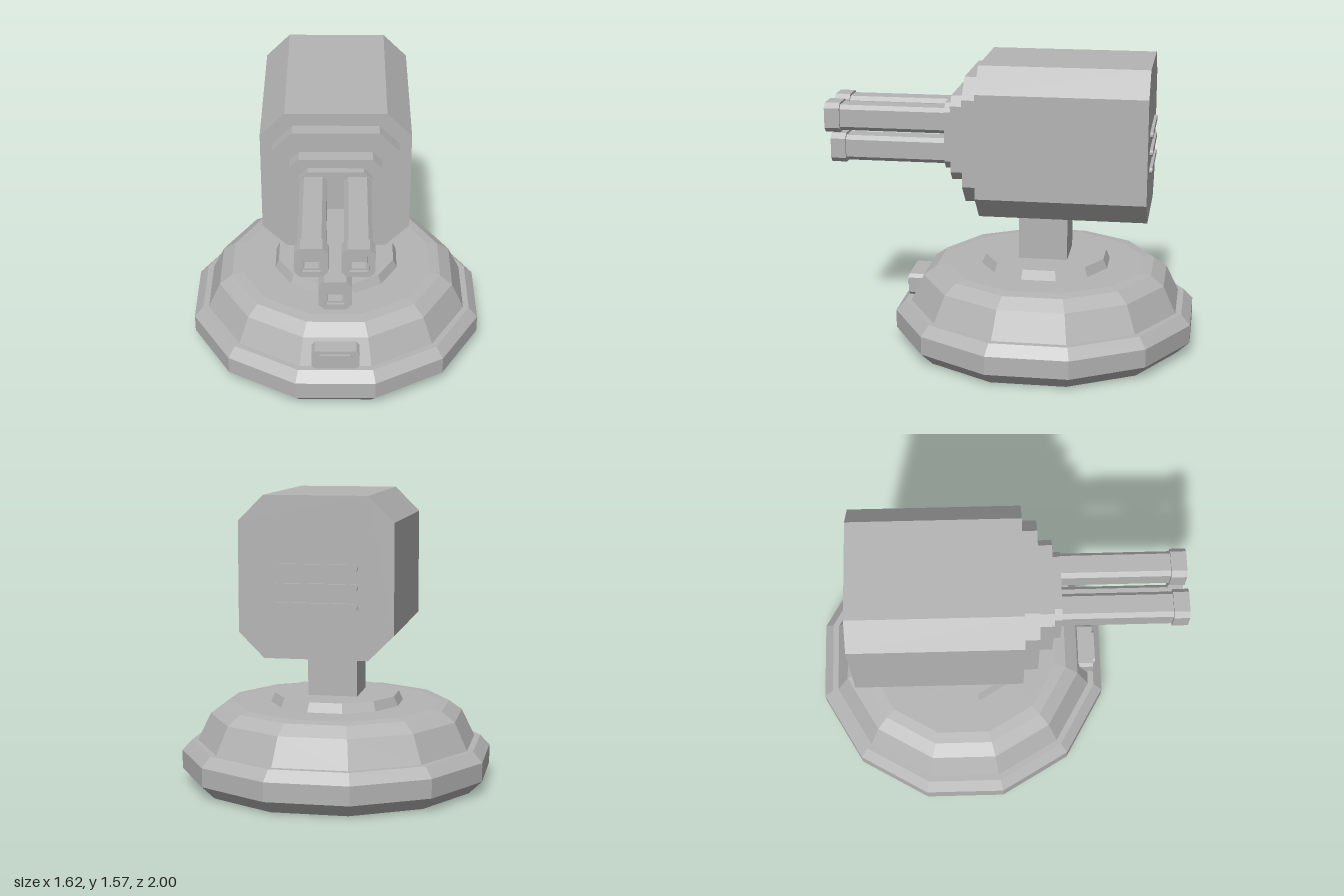
import * as THREE from 'three';

const metal = new THREE.MeshStandardMaterial({ color: 0xb4b4b4 });
metal.name = 'grey metal';
metal.flatShading = true;

// Rectangle with cut corners, as a list of points
function cutRect(w, h, c) {
  return [
    [w - c, -h], [w, c - h], [w, h - c], [w - c, h],
    [c - w, h], [-w, h - c], [-w, c - h], [c - w, -h],
  ].map(([x, y]) => new THREE.Vector2(x, y));
}

// Cut-corner block from z0 to z1, with an optional square hole
function block(name, x, y, w, h, cut, z0, z1, hole = 0) {
  const shape = new THREE.Shape(cutRect(w, h, cut));
  if (hole) shape.holes.push(new THREE.Path(cutRect(hole, hole, 0.008).reverse()));
  const geo = new THREE.ExtrudeGeometry(shape, { depth: z1 - z0, bevelEnabled: false });
  const mesh = new THREE.Mesh(geo, metal);
  mesh.name = name;
  mesh.position.set(x, y, z0);
  return mesh;
}

// Twelve-sided turned part; radii are measured to the flats
function turned(name, profile) {
  const k = 1 / Math.cos(Math.PI / 12);
  const pts = profile.map(([r, y]) => new THREE.Vector2(r * k, y));
  const mesh = new THREE.Mesh(new THREE.LatheGeometry(pts, 12, Math.PI / 12), metal);
  mesh.name = name;
  mesh.position.z = -0.19;
  return mesh;
}

export function createModel() {
  const model = new THREE.Group();
  model.name = 'turret';

  // Base: skirt, dome and raised collar
  model.add(turned('baseSkirt', [[0, 0], [0.74, 0], [0.81, 0.07], [0.81, 0.11], [0.81, 0.17], [0.76, 0.225], [0, 0.225]]));
  model.add(turned('baseDome', [[0.73, 0.22], [0.66, 0.37], [0.59, 0.422], [0.53, 0.43], [0, 0.43]]));
  model.add(turned('collar', [[0.35, 0.42], [0.325, 0.48], [0, 0.48]]));

  // Hatch on the front of the base
  model.add(block('hatch', 0, 0.29, 0.13, 0.06, 0.018, 0.42, 0.565));
  model.add(block('hatchGrip', 0, 0.303, 0.094, 0.025, 0.014, 0.56, 0.578));

  // Neck
  const neck = new THREE.Mesh(new THREE.BoxGeometry(0.265, 0.3, 0.265), metal);
  neck.name = 'neck';
  neck.position.set(0, 0.62, -0.187);
  model.add(neck);

  // Housing with a stepped front
  model.add(block('housing', 0, 1.16, 0.395, 0.41, 0.13, -0.757, 0.143));
  model.add(block('frontStepLarge', 0, 1.16, 0.33, 0.34, 0.105, 0.13, 0.222));
  model.add(block('frontStepMedium', 0, 1.16, 0.24, 0.23, 0.05, 0.21, 0.3));
  model.add(block('frontStepSmall', 0, 1.16, 0.19, 0.18, 0.045, 0.29, 0.343));

  // Three barrels with hollow muzzles
  for (const [x, y] of [[-0.114, 1.243], [0.112, 1.243], [0, 1.048]]) {
    const barrel = new THREE.Group();
    barrel.name = 'barrel';
    barrel.add(block('barrelTube', 0, 0, 0.07, 0.07, 0.022, 0.33, 0.93));
    barrel.add(block('muzzle', 0, 0, 0.081, 0.081, 0.027, 0.917, 1, 0.051));
    barrel.add(block('muzzleLining', 0, 0, 0.055, 0.055, 0.01, 0.925, 0.985, 0.042));
    barrel.position.set(x, y, 0);
    model.add(barrel);
  }

  // Vent ribs on the back
  for (const y of [1.02, 1.117, 1.214]) {
    model.add(block('ventRib', 0, y, 0.215, 0.016, 0.01, -0.773, -0.75));
  }
  return model;
}
